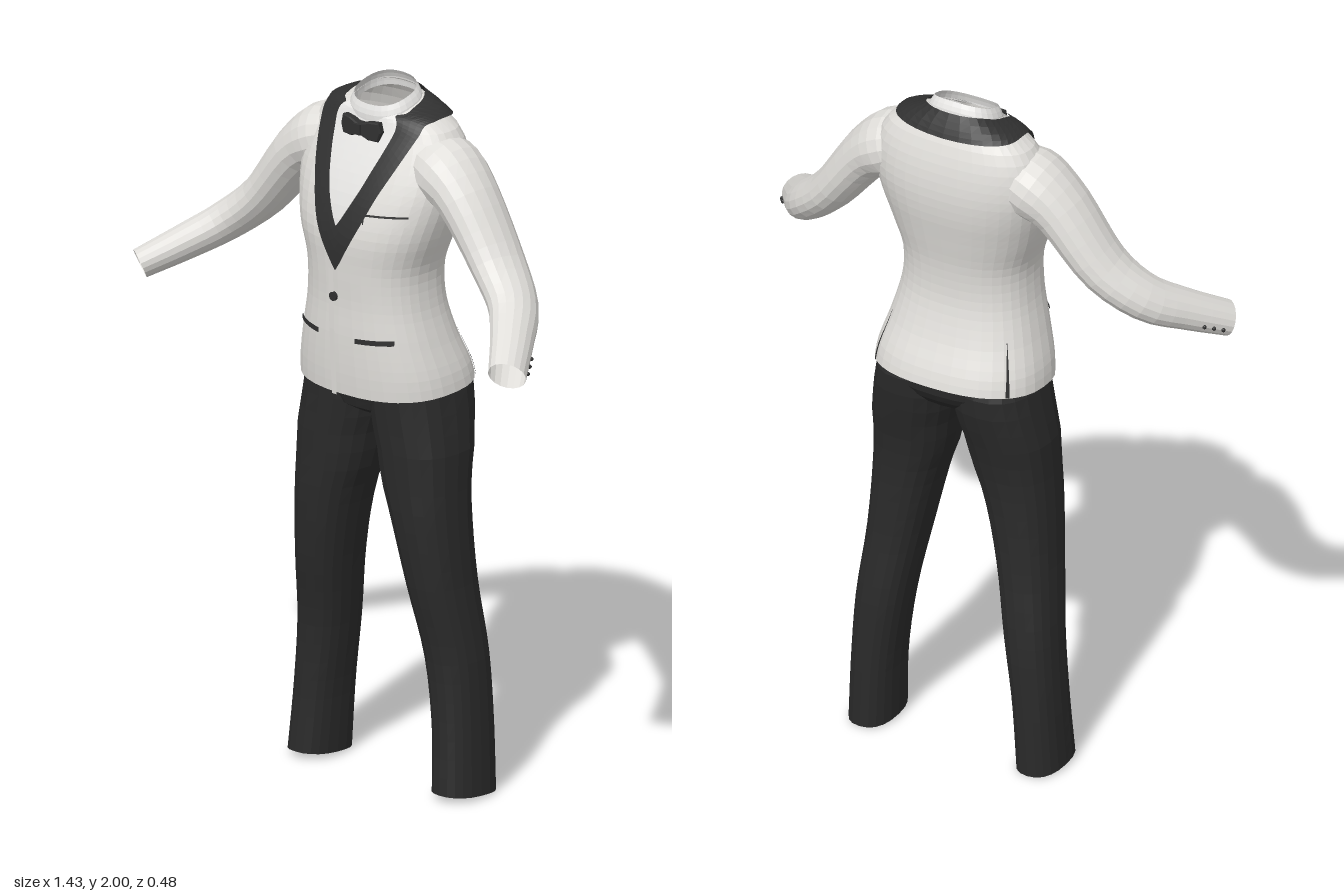
import * as THREE from 'three';

const mat = (name, color) =>
  new THREE.MeshStandardMaterial({ name, color, side: THREE.DoubleSide, flatShading: true });
const M = {
  jacket: mat('jacket cream', 0xe0deda),
  shirt: mat('shirt white', 0xe6e5e3),
  satin: mat('satin black', 0x303030),
  trousers: mat('trouser black', 0x2a2a2a),
};
const V = (x, y, z) => new THREE.Vector3(x, y, z);

// Surface from a rule f(u, v) with u and v in 0..1
function sheet(name, material, f, nu, nv, flip = false) {
  const pos = [], idx = [];
  for (let j = 0; j <= nv; j++)
    for (let i = 0; i <= nu; i++) pos.push(...f(i / nu, j / nv).toArray());
  for (let j = 0; j < nv; j++)
    for (let i = 0; i < nu; i++) {
      const a = j * (nu + 1) + i, b = a + 1, c = a + nu + 1, d = c + 1;
      if (flip) idx.push(a, d, b, a, c, d);
      else idx.push(a, b, d, a, d, c);
    }
  const g = new THREE.BufferGeometry();
  g.setAttribute('position', new THREE.Float32BufferAttribute(pos, 3));
  g.setIndex(idx);
  g.computeVertexNormals();
  const m = new THREE.Mesh(g, material);
  m.name = name;
  return m;
}

// Smooth interpolation of a table whose first column is the parameter
function smooth(rows) {
  const n = rows[0].length - 1;
  const it = new THREE.CubicInterpolant(rows.map(r => r[0]), rows.flatMap(r => r.slice(1)), n, new Float32Array(n));
  return t => [...it.evaluate(t)];
}

// Rounded body of stacked rings: [y, centre x, half width, front z, back z, tilt]
const E = 0.83;
const pw = c => Math.sign(c) * Math.abs(c) ** E;
function body(rows) {
  const at = smooth(rows);
  const f = (a, y) => {
    const [cx, hw, zf, zb, tilt] = at(y);
    return V(cx + hw * pw(Math.sin(a)), y - tilt * Math.cos(a),
      (zf + zb) / 2 + (zf - zb) / 2 * pw(Math.cos(a)));
  };
  f.at = at;
  f.y0 = rows[0][0];
  f.y1 = rows[rows.length - 1][0];
  return f;
}
const bodyMesh = (name, material, f, nu, nv) =>
  sheet(name, material, (u, v) => f(u * Math.PI * 2, f.y0 + v * (f.y1 - f.y0)), nu, nv);

const torso = body([
  [1.155, 0, 0.25, 0.13, -0.245, 0.015],
  [1.2, 0, 0.245, 0.135, -0.235, 0.008],
  [1.3, 0, 0.218, 0.14, -0.195, 0],
  [1.4, 0, 0.195, 0.14, -0.168, 0],
  [1.5, 0, 0.192, 0.145, -0.168, 0],
  [1.6, 0, 0.225, 0.147, -0.185, 0],
  [1.68, 0, 0.248, 0.128, -0.2, 0],
  [1.75, 0, 0.26, 0.1, -0.205, 0],
  [1.82, 0, 0.253, 0.065, -0.198, 0],
  [1.87, 0, 0.233, 0.038, -0.185, 0],
  [1.9, 0, 0.208, 0.027, -0.172, 0.004],
  [1.925, 0, 0.165, 0.022, -0.155, 0.012],
  [1.945, 0, 0.1, 0.022, -0.13, 0.028],
]);

// Point lifted off the jacket surface along its normal
function lifted(a, y, off) {
  const e = 0.004, p = torso(a, y);
  const du = torso(a + e, y).sub(torso(a - e, y));
  const dv = torso(a, Math.min(y + e, torso.y1)).sub(torso(a, y - e));
  return p.addScaledVector(du.cross(dv).normalize(), off);
}
// Angle at which the jacket front reaches a given x
const angleOf = (x, y) =>
  Math.sign(x) * Math.asin(Math.min(1, Math.abs(x) / torso.at(y)[1]) ** (1 / E));
// Thin plate on the jacket front, slanted by a small rise
const plate = (name, material, x0, x1, y0, y1, off, rise = 0) =>
  sheet(name, material, (u, v) => {
    const x = x0 + u * (x1 - x0), y = y0 + v * (y1 - y0) + rise * u;
    return lifted(angleOf(x, y), y, off);
  }, 10, 2);

// Edge curves on the jacket given as [angle, height]
const edge = pts => {
  const c = new THREE.CatmullRomCurve3(pts.map(p => V(p[0], p[1], 0)));
  return t => c.getPoint(t);
};
const lapelInner = edge([[0, 1.625], [0.145, 1.72], [0.25, 1.8], [0.376, 1.87],
  [0.56, 1.925], [1.1, 1.938], [2, 1.943], [Math.PI, 1.943]]);
const lapelOuter = edge([[0, 1.5], [0.254, 1.63], [0.403, 1.74], [0.625, 1.84],
  [0.93, 1.9], [1.4, 1.915], [2.2, 1.91], [Math.PI, 1.905]]);
const shirtEdge = edge([[0.01, 1.61], [0.16, 1.72], [0.27, 1.8], [0.4, 1.87], [0.6, 1.925], [0.9, 1.944]]);

function sleeve(side) {
  const g = new THREE.Group();
  g.name = side > 0 ? 'leftSleeve' : 'rightSleeve';
  // [t, x, y, z, radius across, radius in depth]
  const at = smooth([
    [0, 0.15, 1.81, -0.06, 0.075, 0.09],
    [0.12, 0.215, 1.785, -0.058, 0.095, 0.108],
    [0.28, 0.297, 1.732, -0.05, 0.076, 0.1],
    [0.5, 0.43, 1.567, -0.033, 0.06, 0.087],
    [0.66, 0.525, 1.483, 0.012, 0.056, 0.074],
    [0.82, 0.6, 1.425, 0.1, 0.05, 0.062],
    [1, 0.675, 1.37, 0.2, 0.042, 0.054],
  ]);
  const point = (a, t, grow = 0) => {
    const [x, y, z, rn, rb] = at(t);
    const p = at(Math.max(0, t - 0.02)), q = at(Math.min(1, t + 0.02));
    const T = V(q[0] - p[0], q[1] - p[1], q[2] - p[2]).normalize();
    const B = V(0, 0, 1).addScaledVector(T, -T.z).normalize();
    const N = B.clone().cross(T);
    const P = V(x, y, z).addScaledVector(N, (rn + grow) * Math.cos(a)).addScaledVector(B, (rb + grow) * Math.sin(a));
    P.x *= side;
    return P;
  };
  g.add(sheet('sleeve', M.jacket, (u, v) => point(u * Math.PI * 2, v), 18, 20, side < 0));
  // Three small cuff buttons on the back of the sleeve
  for (const t of [0.88, 0.92, 0.96]) {
    const b = new THREE.Mesh(new THREE.SphereGeometry(0.006, 8, 6), M.satin);
    b.name = 'cuffButton';
    b.position.copy(point(-1.35, t, 0.001));
    g.add(b);
  }
  return g;
}

function bowTie() {
  const g = new THREE.Group();
  g.name = 'bowTie';
  const s = new THREE.Shape([[0, -0.012], [0.03, -0.024], [0.06, -0.024], [0.068, 0],
    [0.062, 0.024], [0.035, 0.022], [0, 0.012]].map(p => new THREE.Vector2(...p)));
  const wing = new THREE.ExtrudeGeometry(s, { depth: 0.016, bevelEnabled: true, bevelSize: 0.003, bevelThickness: 0.004, bevelSegments: 1 });
  for (const side of [1, -1]) {
    const w = new THREE.Mesh(wing, M.satin);
    w.name = 'bowWing';
    w.rotation.y = side > 0 ? 0.15 : Math.PI - 0.15;
    w.position.z = side > 0 ? -0.008 : 0.008;
    g.add(w);
  }
  const knot = new THREE.Mesh(new THREE.BoxGeometry(0.026, 0.03, 0.034), M.satin);
  knot.name = 'bowKnot';
  g.add(knot);
  g.position.set(0, 1.883, 0.053);
  return g;
}

export function createModel() {
  const model = new THREE.Group();
  model.name = 'formalSuit';

  // Jacket, shirt front and collar
  model.add(bodyMesh('jacketBody', M.jacket, torso, 36, 30));
  model.add(sheet('shirtFront', M.shirt, (u, v) => {
    const e = shirtEdge(v);
    return lifted(e.x * (u * 2 - 1), e.y, 0.004);
  }, 10, 16));
  model.add(bodyMesh('shirtCollar', M.shirt, body([
    [1.922, 0, 0.106, 0.03, -0.135, 0.03],
    [1.95, 0, 0.1, 0.03, -0.13, 0.03],
    [1.972, 0, 0.088, 0.022, -0.118, 0.028],
  ]), 28, 4));

  // Lapels running round the back of the neck
  for (const side of [1, -1])
    model.add(sheet(side > 0 ? 'leftLapel' : 'rightLapel', M.satin, (u, v) => {
      const p = lapelInner(v).lerp(lapelOuter(v), u);
      return lifted(p.x * side, p.y, 0.009);
    }, 4, 36, side < 0));
  model.add(bowTie());

  // Front edge, pockets and button
  model.add(plate('frontEdge', M.jacket, -0.03, -0.012, 1.15, 1.5, 0.004));
  model.add(plate('rightPocket', M.satin, -0.18, -0.075, 1.306, 1.32, 0.004, -0.006));
  model.add(plate('leftPocket', M.satin, 0.06, 0.165, 1.3, 1.314, 0.004, 0.006));
  model.add(plate('chestPocketTrim', M.satin, 0.082, 0.2, 1.645, 1.673, 0.004, 0.008));
  model.add(plate('chestPocketWelt', M.jacket, 0.087, 0.203, 1.643, 1.668, 0.007, 0.008));
  const button = new THREE.Mesh(new THREE.CylinderGeometry(0.013, 0.013, 0.008, 12), M.satin);
  button.name = 'button';
  button.rotation.x = Math.PI / 2;
  button.position.set(-0.015, 1.42, 0.144);
  model.add(button);

  for (const side of [1, -1]) {
    // Slim vent at the back of each side
    model.add(sheet('sideVent', M.satin, (u, v) =>
      lifted(side * (2.22 + (u - 0.5) * 0.05 * (1.2 - v)), 1.158 + v * 0.15, 0.003), 2, 6, side < 0));
    model.add(sleeve(side));
    // Trouser leg
    model.add(bodyMesh(side > 0 ? 'leftLeg' : 'rightLeg', M.trousers, body([
      [0.01, 0.265, 0.066, 0.025, -0.172, -0.01],
      [0.2, 0.254, 0.066, 0.012, -0.175, 0],
      [0.4, 0.233, 0.074, 0.014, -0.172, 0],
      [0.6, 0.205, 0.082, 0.05, -0.154, 0],
      [0.8, 0.175, 0.1, 0.073, -0.152, 0],
      [0.9, 0.155, 0.115, 0.077, -0.162, 0],
      [1, 0.143, 0.123, 0.08, -0.185, 0],
      [1.06, 0.128, 0.126, 0.082, -0.2, 0],
      [1.14, 0.119, 0.121, 0.085, -0.212, 0],
      [1.2, 0.112, 0.108, 0.085, -0.195, 0],
    ].map(r => [r[0], r[1] * side, ...r.slice(2)])), 20, 22));
  }
  // Trouser seat joining the legs
  model.add(bodyMesh('trouserSeat', M.trousers, body([
    [1.04, 0, 0.01, -0.05, -0.07, 0],
    [1.07, 0, 0.11, 0.05, -0.16, 0],
    [1.11, 0, 0.19, 0.075, -0.205, 0],
    [1.15, 0, 0.22, 0.083, -0.218, 0],
    [1.22, 0, 0.205, 0.085, -0.19, 0],
  ]), 28, 8));
  return model;
}
